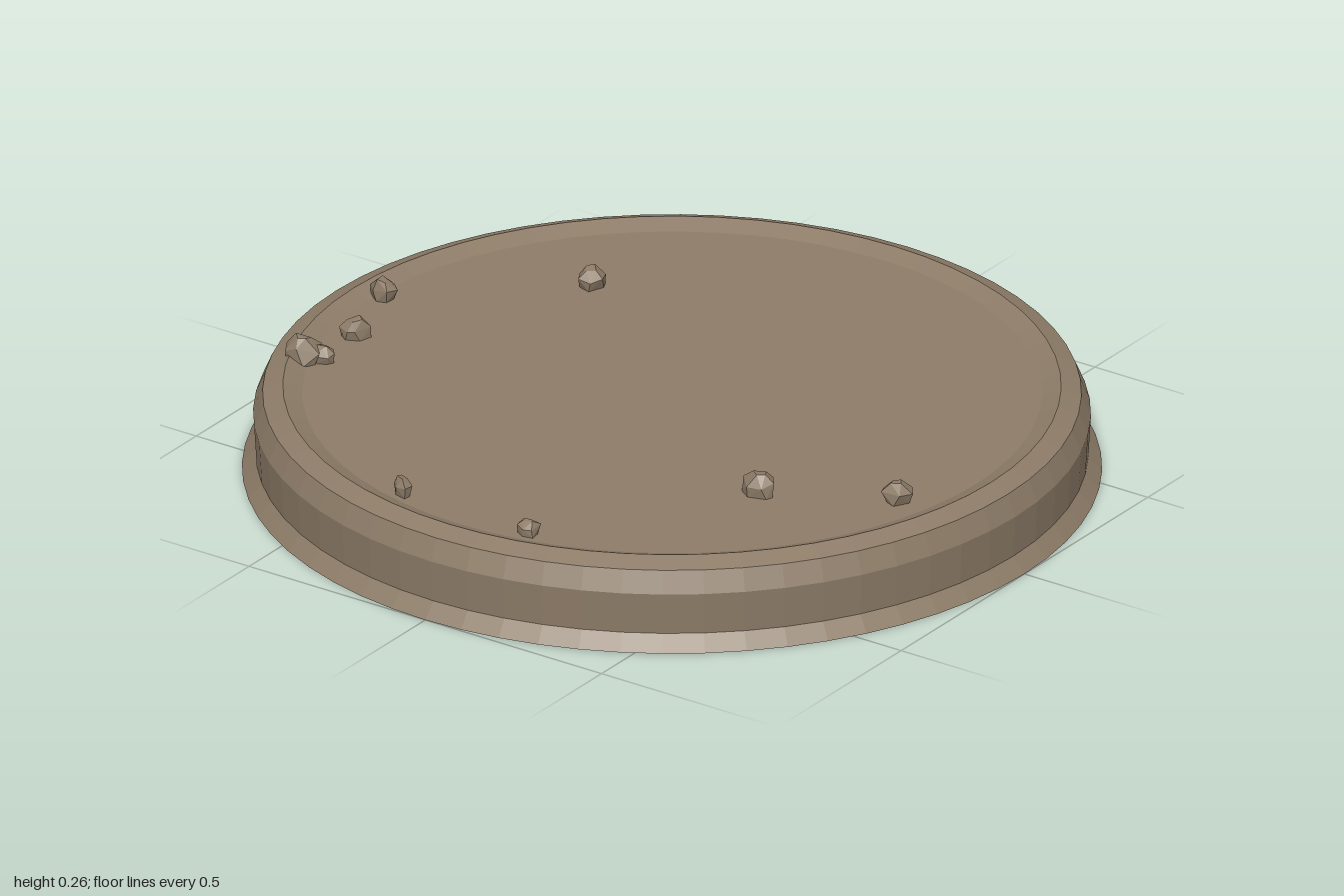
import * as THREE from 'three';
import { ConvexGeometry } from 'three/addons/geometries/ConvexGeometry.js';

const FLOOR = 0.192;

// Small seeded random generator
function seeded(seed) {
  let s = seed;
  return () => (s = (s * 16807) % 2147483647) / 2147483647;
}

// Angular stone: irregular base ring, wider middle ring and a blunt top
function stoneGeometry(width, depth, height, rand) {
  const points = [];
  const rings = [[0, 0.85, 6], [0.5, 0.95, 6], [0.9, 0.45, 4]];
  for (const [level, radius, count] of rings) {
    for (let i = 0; i < count; i++) {
      const a = ((i + rand() * 0.6) / count) * Math.PI * 2;
      const r = radius * (0.8 + rand() * 0.3) / 2;
      const lift = level === 0 ? 0 : (rand() - 0.5) * 0.2;
      points.push(new THREE.Vector3(
        Math.cos(a) * r * width, (level + lift) * height, Math.sin(a) * r * depth));
    }
  }
  return new ConvexGeometry(points);
}

export function createModel() {
  const model = new THREE.Group();
  const earth = new THREE.MeshStandardMaterial({
    name: 'earth brown', color: 0x8c7b67, flatShading: true, side: THREE.DoubleSide,
  });

  // Hollow round base: flared foot, wall, bevelled lip and shallow recessed top
  const profile = [
    [1, 0], [0.968, 0.037], [0.974, 0.14], [0.952, 0.192],
    [0.905, 0.21], [0.86, FLOOR], [0, FLOOR],
  ].map(([r, y]) => new THREE.Vector2(r, y));
  const base = new THREE.Mesh(new THREE.LatheGeometry(profile, 64), earth);
  base.name = 'base';
  model.add(base);

  // Loose stones: x, z, width, depth, top height, turn
  const stones = [
    [-0.48, -0.36, 0.07, 0.08, 0.242, 0.3],
    [-0.84, -0.03, 0.085, 0.065, 0.243, -0.5],
    [-0.775, 0.18, 0.09, 0.065, 0.243, 0.7],
    [-0.80, 0.35, 0.1, 0.085, 0.262, 0.1],
    [-0.76, 0.33, 0.06, 0.05, 0.235, 0.6],
    [0.475, 0.325, 0.105, 0.08, 0.252, 0.4],
    [0.76, 0.17, 0.08, 0.08, 0.243, 0.2],
    [-0.205, 0.8, 0.075, 0.05, 0.237, -0.6],
    [0.16, 0.81, 0.065, 0.055, 0.233, -0.2],
  ];
  const rand = seeded(4711);
  const group = new THREE.Group();
  group.name = 'stones';
  stones.forEach(([x, z, width, depth, top, turn], i) => {
    const stone = new THREE.Mesh(stoneGeometry(width, depth, top - FLOOR, rand), earth);
    stone.name = `stone${i + 1}`;
    stone.position.set(x, FLOOR, z);
    stone.rotation.y = turn;
    group.add(stone);
  });
  model.add(group);
  return model;
}
